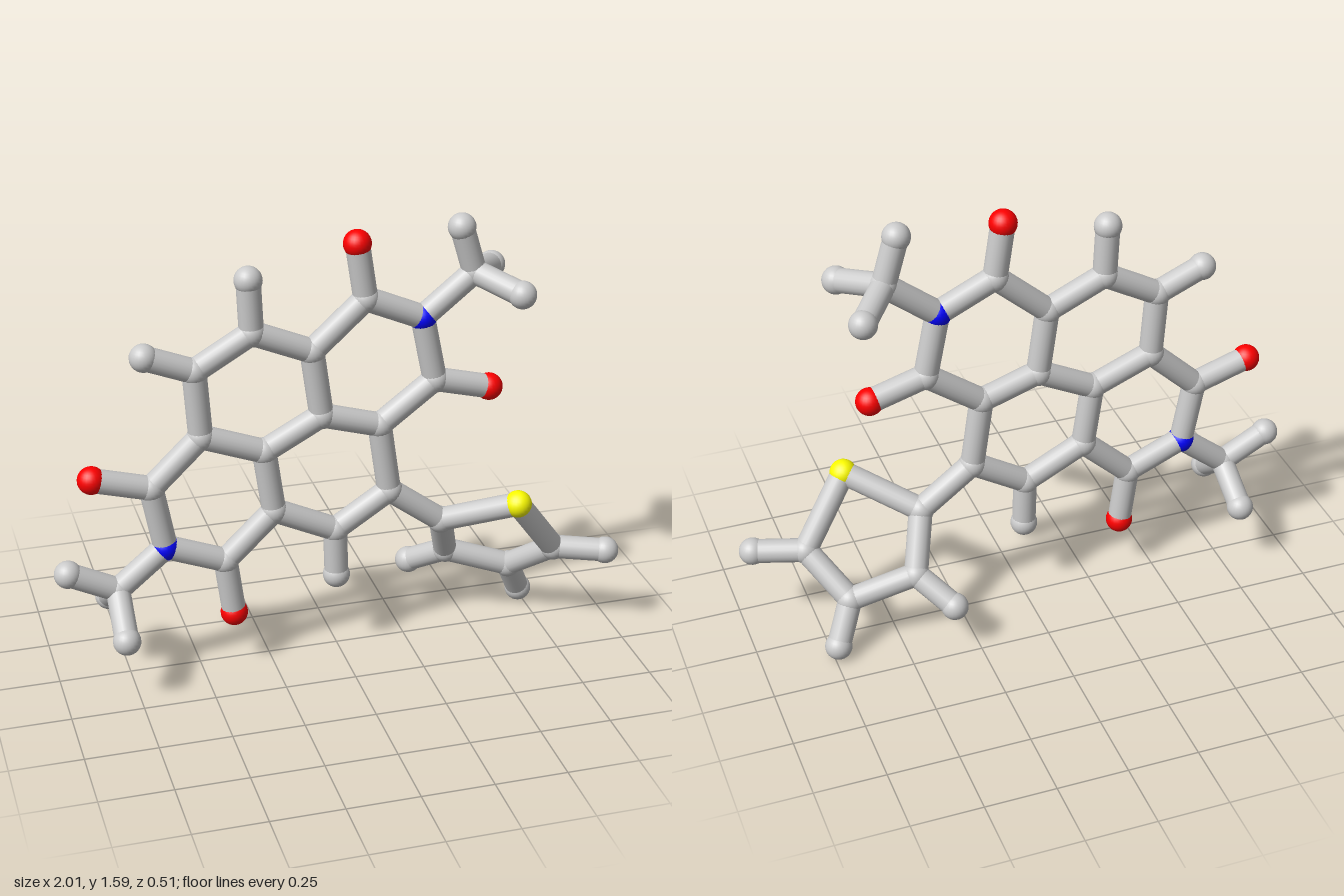
import * as THREE from 'three';

const ATOM_RADIUS = 0.048;
const BOND_RADIUS = 0.042;

// Depth of the slightly turned flat ring system
const planeZ = (x) => 0.028 - 0.03 * x;

// Atoms: x, y and, where they leave the ring plane, z. First letter is the element.
const atoms = {
  // fused rings
  C1: [-0.484, 0.901], C2: [-0.5, 1.142], C3: [-0.302, 1.254], C4: [-0.094, 1.163],
  C5: [-0.061, 0.922], C6: [-0.265, 0.816], C7: [-0.233, 0.586], C8: [-0.013, 0.479],
  C9: [0.184, 0.602], C10: [0.147, 0.858],
  // left and right imide rings
  C11: [-0.409, 0.42], N1: [-0.618, 0.505], C12: [-0.66, 0.735],
  C13: [0.345, 1.003], N2: [0.297, 1.238], C14: [0.094, 1.329],
  O1: [-0.861, 0.794], O2: [-0.382, 0.211], O3: [0.545, 0.949], O4: [0.064, 1.527],
  H2: [-0.668, 1.211], H3: [-0.31, 1.441], H8: [-0.008, 0.3],
  // methyl groups
  C15: [0.479, 1.382, 0.015], H4: [0.428, 1.548, 0.022],
  H5: [0.597, 1.342, 0.168], H6: [0.593, 1.342, -0.135],
  C16: [-0.789, 0.366, 0.05], H7: [-0.957, 0.452, 0.055],
  H9: [-0.791, 0.249, 0.203], H10: [-0.797, 0.26, -0.105],
  // tilted five-sided ring
  C17: [0.377, 0.457, 0.02], S1: [0.607, 0.564, 0.178], C18: [0.778, 0.329, 0.095],
  C19: [0.666, 0.195, -0.058], C20: [0.436, 0.27, -0.095],
  H18: [0.952, 0.323, 0.16], H19: [0.733, 0.053, -0.122], H20: [0.332, 0.184, -0.207],
};

// Chains of bonded atoms
const chains = [
  'C1 C2 C3 C4 C5 C6 C1', 'C6 C7 C8 C9 C10 C5',
  'C7 C11 N1 C12 C1', 'C10 C13 N2 C14 C4',
  'C12 O1', 'C11 O2', 'C13 O3', 'C14 O4', 'C2 H2', 'C3 H3', 'C8 H8',
  'N2 C15 H4', 'H5 C15 H6', 'N1 C16 H7', 'H9 C16 H10',
  'C9 C17 S1 C18 C19 C20 C17', 'C18 H18', 'C19 H19', 'C20 H20',
];

const elements = {
  C: ['carbonAtom', 0xcccccc], H: ['hydrogenAtom', 0xcccccc], N: ['nitrogenAtom', 0x0000ff],
  O: ['oxygenAtom', 0xff0000], S: ['sulfurAtom', 0xffff00],
};

export function createModel() {
  const model = new THREE.Group();
  model.name = 'molecule';

  const materials = {};
  for (const key in elements) {
    materials[key] = new THREE.MeshStandardMaterial({ color: elements[key][1] });
  }
  const ball = new THREE.SphereGeometry(ATOM_RADIUS, 24, 16);
  const rod = new THREE.CylinderGeometry(BOND_RADIUS, BOND_RADIUS, 1, 20, 1, true);

  // Balls
  const atomGroup = new THREE.Group();
  atomGroup.name = 'atoms';
  const positions = {};
  for (const [id, [x, y, z = planeZ(x)]] of Object.entries(atoms)) {
    positions[id] = new THREE.Vector3(x, y, z);
    const mesh = new THREE.Mesh(ball, materials[id[0]]);
    mesh.name = elements[id[0]][0];
    mesh.position.copy(positions[id]);
    atomGroup.add(mesh);
  }

  // Rods between neighbouring balls
  const bondGroup = new THREE.Group();
  bondGroup.name = 'bonds';
  const up = new THREE.Vector3(0, 1, 0);
  for (const chain of chains) {
    const ids = chain.split(' ');
    for (let i = 1; i < ids.length; i++) {
      const a = positions[ids[i - 1]], b = positions[ids[i]];
      const dir = b.clone().sub(a);
      const mesh = new THREE.Mesh(rod, materials.C);
      mesh.name = 'bond';
      mesh.position.copy(a).lerp(b, 0.5);
      mesh.scale.y = dir.length();
      mesh.quaternion.setFromUnitVectors(up, dir.normalize());
      bondGroup.add(mesh);
    }
  }

  model.add(atomGroup, bondGroup);
  return model;
}
